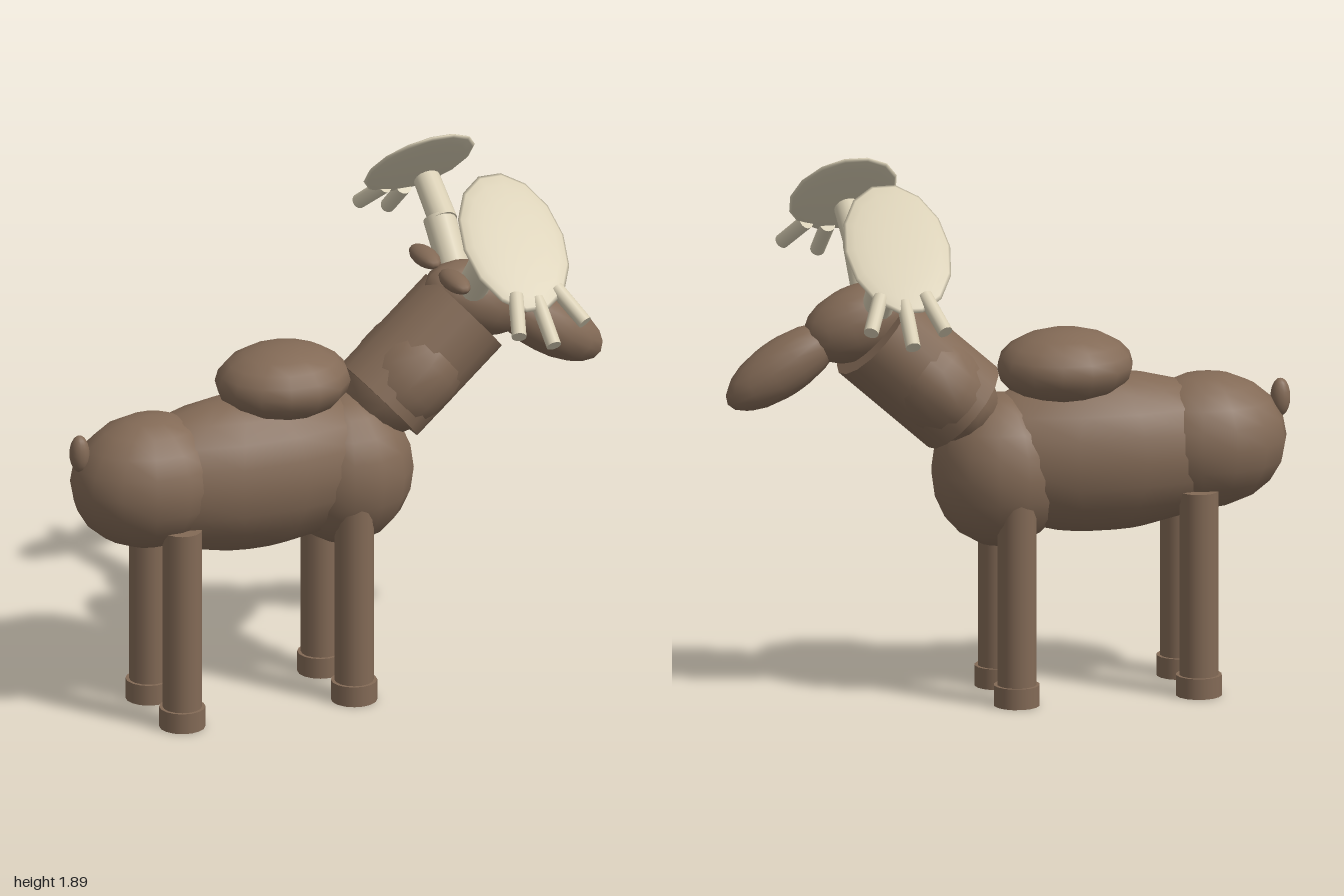
import * as THREE from 'three';

export function createModel() {
  const model = new THREE.Group();
  model.name = 'antleredAnimal';
  const hide = new THREE.MeshStandardMaterial({ color: 0x836a56 });
  hide.name = 'brown hide';
  const bone = new THREE.MeshStandardMaterial({ color: 0xd8ceb4 });
  bone.name = 'pale antler';

  // Ellipsoid with a tilt about z (head, neck) or x (antlers)
  const ball = (name, mat, pos, radii, tiltZ = 0, tiltX = 0, parent = model) => {
    const mesh = new THREE.Mesh(new THREE.SphereGeometry(1, 14, 10), mat);
    mesh.name = name;
    mesh.position.set(...pos);
    mesh.scale.set(...radii);
    mesh.rotation.set(tiltX, 0, tiltZ);
    parent.add(mesh);
    return mesh;
  };

  // Capped cylinder running from a to b
  const rod = (name, mat, a, b, rA, rB = rA, parent = model) => {
    const start = new THREE.Vector3(...a);
    const dir = new THREE.Vector3(...b).sub(start);
    const mesh = new THREE.Mesh(new THREE.CylinderGeometry(rB, rA, dir.length(), 16), mat);
    mesh.name = name;
    mesh.position.copy(start).addScaledVector(dir, 0.5);
    mesh.quaternion.setFromUnitVectors(new THREE.Vector3(0, 1, 0), dir.normalize());
    parent.add(mesh);
    return mesh;
  };

  // Trunk, with the animal's head towards +x
  ball('belly', hide, [-0.32, 0.85, 0], [0.55, 0.28, 0.235]);
  ball('rump', hide, [-0.7, 0.87, 0], [0.285, 0.238, 0.225]);
  ball('chest', hide, [0.03, 0.805, 0], [0.243, 0.27, 0.233]);
  ball('hump', hide, [-0.2, 1.16, 0], [0.24, 0.13, 0.21]);
  ball('tail', hide, [-0.963, 1.005, 0], [0.035, 0.067, 0.035]);

  // Neck and head
  rod('neck', hide, [0.163, 1.032, 0], [0.48, 1.315, 0], 0.182);
  ball('neckBulge', hide, [0.27, 1.13, 0], [0.27, 0.175, 0.205], 0.73);
  ball('head', hide, [0.53, 1.355, 0], [0.21, 0.13, 0.125], -0.35);
  ball('snout', hide, [0.8, 1.21, 0], [0.23, 0.1, 0.1], -0.56);

  // Legs and hooves
  for (const [end, x] of [['front', 0.005], ['back', -0.64]]) {
    for (const side of [1, -1]) {
      const z = side * 0.147;
      rod(end + 'Leg', hide, [x, 0.03, z], [x, 0.725, z], 0.068);
      rod(end + 'Hoof', hide, [x, 0, z], [x, 0.073, z], 0.08);
    }
  }

  // Ears and antlers on both sides of the head
  for (const side of [1, -1]) {
    ball('ear', hide, [0.39, 1.48, side * 0.13], [0.043, 0.032, 0.1]);

    const antler = new THREE.Group();
    antler.name = 'antler';
    model.add(antler);
    rod('antlerBase', bone, [0.48, 1.42, side * 0.07], [0.48, 1.582, side * 0.215], 0.055, 0.057, antler);
    rod('antlerStem', bone, [0.485, 1.575, side * 0.19], [0.49, 1.675, side * 0.345], 0.05, 0.047, antler);
    // Broad palm sloping outwards and down
    ball('antlerPalm', bone, [0.49, 1.71, side * 0.412], [0.187, 0.024, 0.282], 0, side * 0.69, antler);
    // Tines fanning from the outer rim
    const tines = [
      [[0.43, 1.58, 0.57], [0.387, 1.48, 0.7]],
      [[0.505, 1.56, 0.58], [0.507, 1.438, 0.725]],
      [[0.585, 1.58, 0.56], [0.645, 1.485, 0.675]],
    ];
    for (const [a, b] of tines) {
      rod('tine', bone, [a[0], a[1], side * a[2]], [b[0], b[1], side * b[2]], 0.027, 0.026, antler);
    }
  }
  return model;
}
